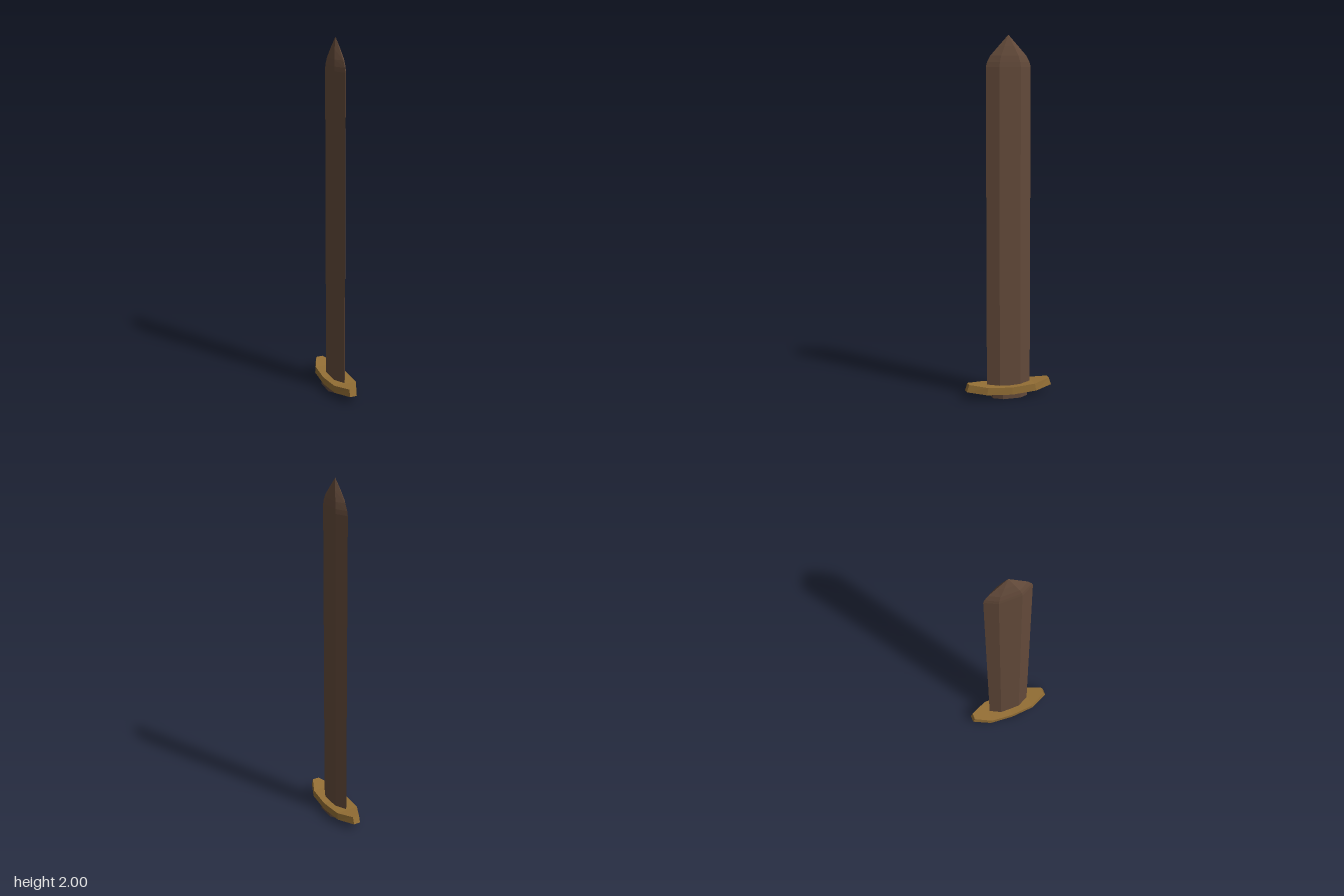
import * as THREE from 'three';

// Skins a list of equal-length point rings with flat faces and closed ends.
function loft(rings) {
  const n = rings[0].length, last = rings.length - 1, pos = [];
  const tri = (...pts) => pts.forEach((p) => pos.push(...p));
  for (let i = 0; i < last; i++) {
    for (let j = 0; j < n; j++) {
      const k = (j + 1) % n;
      const a = rings[i][j], b = rings[i][k], c = rings[i + 1][k], d = rings[i + 1][j];
      tri(a, d, c);
      tri(a, c, b);
    }
  }
  for (let j = 1; j < n - 1; j++) {
    tri(rings[0][0], rings[0][j], rings[0][j + 1]);
    tri(rings[last][0], rings[last][j + 1], rings[last][j]);
  }
  const geo = new THREE.BufferGeometry();
  geo.setAttribute('position', new THREE.Float32BufferAttribute(pos, 3));
  geo.computeVertexNormals();
  return geo;
}

export function createModel() {
  const leather = new THREE.MeshStandardMaterial({ color: 0x634a3a });
  leather.name = 'brown leather';
  const brass = new THREE.MeshStandardMaterial({ color: 0x946f35 });
  brass.name = 'aged brass';

  const group = new THREE.Group();
  group.name = 'scabbard';
  const add = (name, geo, mat) => {
    const mesh = new THREE.Mesh(geo, mat);
    mesh.name = name;
    group.add(mesh);
  };

  // Long hexagonal sheath narrowing to a point: [y, x scale, z scale]
  const hex = [[0.033, -0.06], [0.033, 0.06], [0, 0.126], [-0.033, 0.06], [-0.033, -0.06], [0, -0.126]];
  const levels = [[0.04, 1, 1], [1.83, 1, 1], [1.855, 0.96, 0.95], [1.89, 0.83, 0.8], [1.94, 0.5, 0.44], [2, 0.003, 0.003]];
  add('sheath', loft(levels.map(([y, sx, sz]) => hex.map(([x, z]) => [x * sx, y, z * sz]))), leather);

  // Curved collar plate, swept along z: [z, half width, underside height]
  const stations = [[-0.241, 0.02, 0.045], [-0.14, 0.066, 0.032], [0, 0.075, 0.025], [0.14, 0.066, 0.032], [0.241, 0.02, 0.045]];
  add('collar', loft(stations.map(([z, w, y]) => {
    const top = z * 0.97, bottom = z * 1.025;
    return [[w, y + 0.041, top], [w, y, bottom], [-w, y, bottom], [-w, y + 0.041, top]];
  })), brass);

  // Eight-sided mouth block under the collar
  const oct = [[0.065, -0.05], [0.065, 0.05], [0.03, 0.1], [-0.03, 0.1], [-0.065, 0.05], [-0.065, -0.05], [-0.03, -0.1], [0.03, -0.1]];
  add('mouth', loft([0, 0.035].map((y) => oct.map(([x, z]) => [x, y, z]))), leather);

  return group;
}
